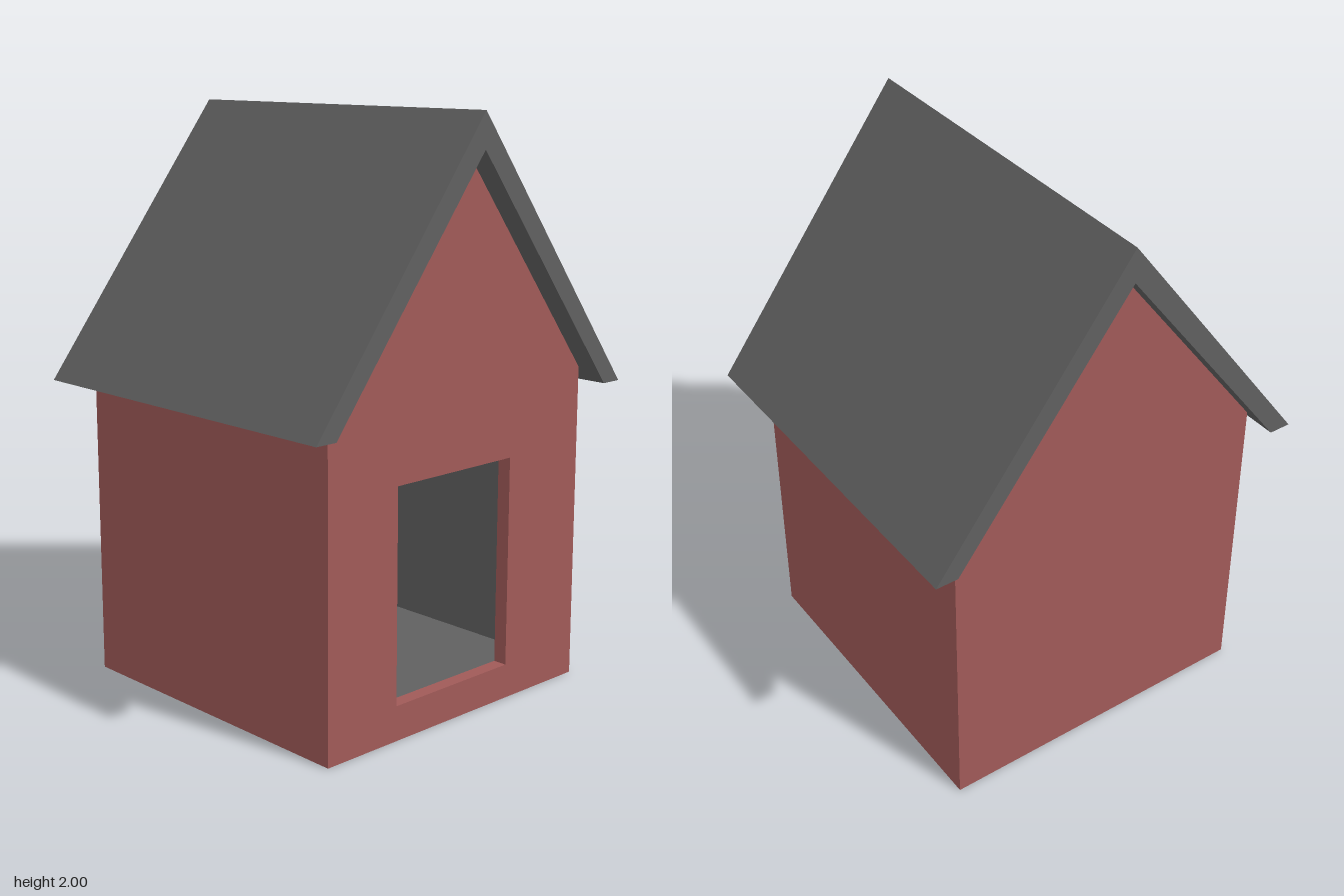
import * as THREE from 'three';

const HALF = 0.59, WALL = 0.05, APEX = 1.88, PITCH = 0.82 / 0.63;
const DOOR = { x0: -0.29, x1: 0.24, y0: 0.12, y1: 0.85 };

const rect = (x0, y0, x1, y1, Type = THREE.Shape) =>
  new Type([[x0, y0], [x1, y0], [x1, y1], [x0, y1]].map(p => new THREE.Vector2(...p)));

// Gable outline reaching up to the underside of the roof
function gable(half, base, mirrorX = false) {
  const eave = APEX - PITCH * half;
  const pts = [[-half, base], [half, base], [half, eave], [0, APEX], [-half, eave]];
  return new THREE.Shape(pts.map(([x, y]) => new THREE.Vector2(mirrorX ? -x : x, y)));
}

export function createModel() {
  const group = new THREE.Group();
  const red = new THREE.MeshStandardMaterial({ color: 0xa05a58 });
  const grey = new THREE.MeshStandardMaterial({ color: 0x606060 });
  const add = (parent, name, geometry, material) => {
    const mesh = new THREE.Mesh(geometry, material);
    mesh.name = name;
    parent.add(mesh);
    return mesh;
  };

  // One skin of walls and floor, facing outward or inward
  function skin(name, half, base, material, inward) {
    const part = new THREE.Group();
    part.name = name;
    group.add(part);
    const turn = inward ? Math.PI : 0;
    const eave = APEX - PITCH * half;

    // the doorway is mirrored where the front panel is turned around
    const front = gable(half, base);
    const s = inward ? -1 : 1;
    front.holes.push(rect(s * DOOR.x0, DOOR.y0, s * DOOR.x1, DOOR.y1, THREE.Path));
    const frontWall = add(part, name + 'Front', new THREE.ShapeGeometry(front), material);
    frontWall.position.z = half;
    frontWall.rotation.y = turn;

    const backWall = add(part, name + 'Back', new THREE.ShapeGeometry(gable(half, base)), material);
    backWall.position.z = -half;
    backWall.rotation.y = Math.PI + turn;

    for (const side of [-1, 1]) {
      const wall = add(part, name + (side > 0 ? 'Left' : 'Right'),
        new THREE.PlaneGeometry(2 * half, eave - base), material);
      wall.position.set(side * half, (eave + base) / 2, 0);
      wall.rotation.y = side * Math.PI / 2 + turn;
    }

    const floor = add(part, name + 'Floor', new THREE.PlaneGeometry(2 * half, 2 * half), material);
    floor.position.y = base;
    floor.rotation.x = Math.PI / 2 + turn;
  }
  skin('walls', HALF, 0, red, false);
  skin('interior', HALF - WALL, WALL, grey, true);

  // Four reveals lining the doorway through the wall
  const reveal = new THREE.Group();
  reveal.name = 'doorway';
  reveal.position.set((DOOR.x0 + DOOR.x1) / 2, (DOOR.y0 + DOOR.y1) / 2, HALF - WALL / 2);
  group.add(reveal);
  const w = DOOR.x1 - DOOR.x0, h = DOOR.y1 - DOOR.y0;
  for (const side of [-1, 1]) {
    const jamb = add(reveal, 'doorJamb', new THREE.PlaneGeometry(WALL, h), red);
    jamb.position.x = side * w / 2;
    jamb.rotation.y = -side * Math.PI / 2;
    const sill = add(reveal, side > 0 ? 'doorLintel' : 'doorSill', new THREE.PlaneGeometry(w, WALL), red);
    sill.position.y = side * h / 2;
    sill.rotation.x = side * Math.PI / 2;
  }

  // Pitched roof with overhanging eaves
  const chevron = new THREE.Shape([[0, 2], [-0.71, 1.06], [-0.63, 1.06], [0, APEX], [0.63, 1.06], [0.71, 1.06]]
    .map(p => new THREE.Vector2(...p)));
  const roof = new THREE.ExtrudeGeometry(chevron, { depth: 1.34, bevelEnabled: false });
  roof.translate(0, 0, -0.67);
  add(group, 'roof', roof, grey);

  return group;
}
